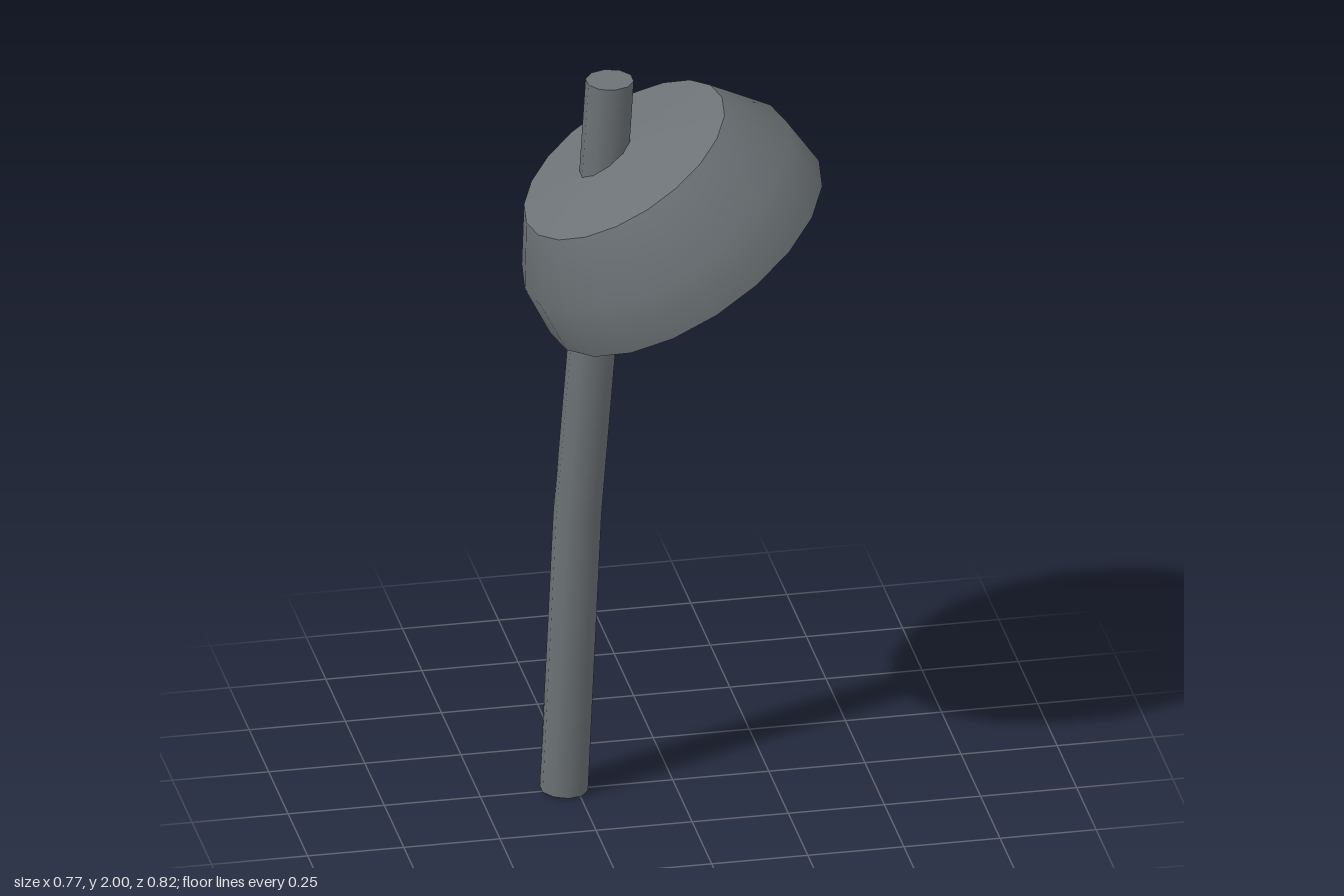
import * as THREE from 'three';

// Surface of revolution from [radius, height] pairs
const turned = (name, profile, material) => {
  const points = profile.map(([r, y]) => new THREE.Vector2(r, y));
  const mesh = new THREE.Mesh(new THREE.LatheGeometry(points, 20), material);
  mesh.name = name;
  return mesh;
};

export function createModel() {
  const model = new THREE.Group();
  model.name = 'tiltedShadeOnPole';
  const metal = new THREE.MeshStandardMaterial({ color: 0x6c7276 });
  metal.name = 'dark grey metal';

  // Slightly bent pole: each ring of a ten-sided cylinder slides to its station
  const stations = [[-0.164, 2], [-0.207, 1.3], [-0.248, 0.78], [-0.283, 0.004]];
  const radius = 0.062;
  const poleGeometry = new THREE.CylinderGeometry(radius, radius, 3, 10, 3);
  const position = poleGeometry.attributes.position;
  for (let i = 0; i < position.count; i++) {
    const ring = Math.round(1.5 - position.getY(i));
    const [x, y] = stations[ring];
    const tilt = ring === 3 ? -0.06 * position.getX(i) : 0;
    position.setXY(i, position.getX(i) + x, y + tilt);
  }
  const pole = new THREE.Mesh(poleGeometry, metal);
  pole.name = 'pole';
  model.add(pole);

  // Hollow shade, split where its edges are sharp
  const shade = new THREE.Group();
  shade.name = 'shade';
  shade.add(
    turned('shadeOuterWall', [[0.408, 0], [0.397, 0.146], [0.297, 0.305]], metal),
    turned('shadeTop', [[0.297, 0.305], [0, 0.358]], metal),
    turned('shadeCeiling', [[0, 0.295], [0.267, 0.245]], metal),
    turned('shadeInnerWall', [[0.267, 0.245], [0.36, 0.125], [0.375, 0]], metal),
    turned('shadeRim', [[0.375, 0], [0.408, 0]], metal),
  );
  shade.position.set(0.031, 1.508, 0);
  shade.rotation.z = 0.541;
  model.add(shade);

  return model;
}
